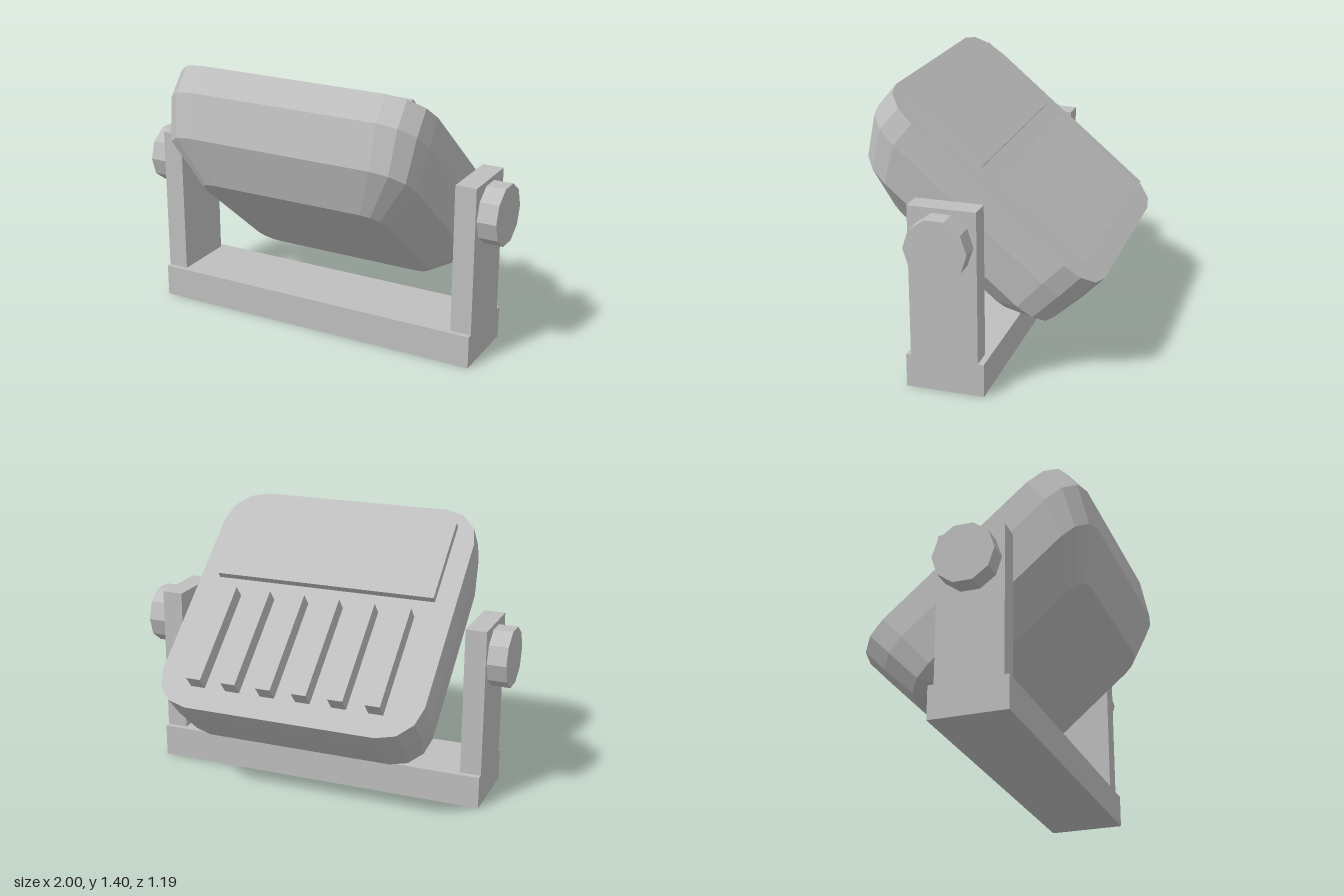
import * as THREE from 'three';

const grey = new THREE.MeshStandardMaterial({ color: 0xbebebe, flatShading: true });
grey.name = 'plain grey';

function box(name, x0, x1, y0, y1, z0, z1) {
  const mesh = new THREE.Mesh(new THREE.BoxGeometry(x1 - x0, y1 - y0, z1 - z0), grey);
  mesh.position.set((x0 + x1) / 2, (y0 + y1) / 2, (z0 + z1) / 2);
  mesh.name = name;
  return mesh;
}

// Rounded rectangle at height y, three facets per corner
function ring({ y, w, z0, z1, r }) {
  const pts = [];
  const mid = (z0 + z1) / 2, half = (z1 - z0) / 2;
  const signs = [[1, 1], [-1, 1], [-1, -1], [1, -1]];
  signs.forEach(([sx, sz], q) => {
    for (let k = 0; k <= 3; k++) {
      const a = (q + k / 3) * Math.PI / 2;
      pts.push([sx * (w - r) + r * Math.cos(a), y, mid + sz * (half - r) + r * Math.sin(a)]);
    }
  });
  return pts;
}

// Skin over the rings from top to bottom, closed at both ends
function loft(sections) {
  const rings = sections.map(ring);
  const n = rings[0].length, pos = [];
  const tri = (...p) => p.forEach((v) => pos.push(...v));
  const top = rings[0], bottom = rings[rings.length - 1];
  for (let j = 0; j < n; j++) {
    const k = (j + 1) % n;
    for (let i = 0; i < rings.length - 1; i++) {
      const a = rings[i], b = rings[i + 1];
      tri(a[j], a[k], b[j]);
      tri(a[k], b[k], b[j]);
    }
    if (j > 0 && j < n - 1) {
      tri(top[0], top[k], top[j]);
      tri(bottom[0], bottom[j], bottom[k]);
    }
  }
  const geo = new THREE.BufferGeometry();
  geo.setAttribute('position', new THREE.Float32BufferAttribute(pos, 3));
  geo.computeVertexNormals();
  return geo;
}

export function createModel() {
  const model = new THREE.Group();
  model.name = 'floodlight';

  // Mounting bracket
  const bracket = new THREE.Group();
  bracket.name = 'bracket';
  bracket.add(box('bracketBase', -0.9, 0.9, 0, 0.17, -0.11, 0.285));
  for (const s of [-1, 1]) {
    const arm = box('bracketArm', -0.055, 0.055, 0.16, 0.94, -0.08, 0.26);
    arm.position.x = s * 0.845;
    bracket.add(arm);

    // Ten-sided pivot knob
    const knob = new THREE.Mesh(new THREE.CylinderGeometry(0.156, 0.156, 0.1, 10), grey);
    knob.name = 'pivotKnob';
    knob.rotation.z = Math.PI / 2;
    knob.position.set(s * 0.95, 0.767, 0.09);
    bracket.add(knob);
  }
  model.add(bracket);

  // Tilted lamp head: local y points out of the back, local z up the slope
  const head = new THREE.Group();
  head.name = 'lampHead';
  head.position.set(0, 0.96, -0.0725);
  head.rotation.x = -40 * Math.PI / 180;

  const housing = new THREE.Mesh(loft([
    { y: 0, w: 0.71, z0: -0.686, z1: 0.686, r: 0.2 },
    { y: -0.15, w: 0.71, z0: -0.675, z1: 0.686, r: 0.2 },
    { y: -0.35, w: 0.68, z0: -0.649, z1: 0.58, r: 0.18 },
    { y: -0.5, w: 0.515, z0: -0.49, z1: 0.357, r: 0.1 },
  ]), grey);
  housing.name = 'housing';
  head.add(housing);

  // Raised cover plate and cooling fins on the back
  head.add(box('coverPlate', -0.6, 0.6, -0.02, 0.037, 0.11, 0.582));
  for (let i = 0; i < 6; i++) {
    const x = (i - 2.5) * 0.192;
    head.add(box('coolingFin', x - 0.039, x + 0.039, -0.02, 0.079, -0.56, 0.01));
  }
  model.add(head);

  return model;
}
